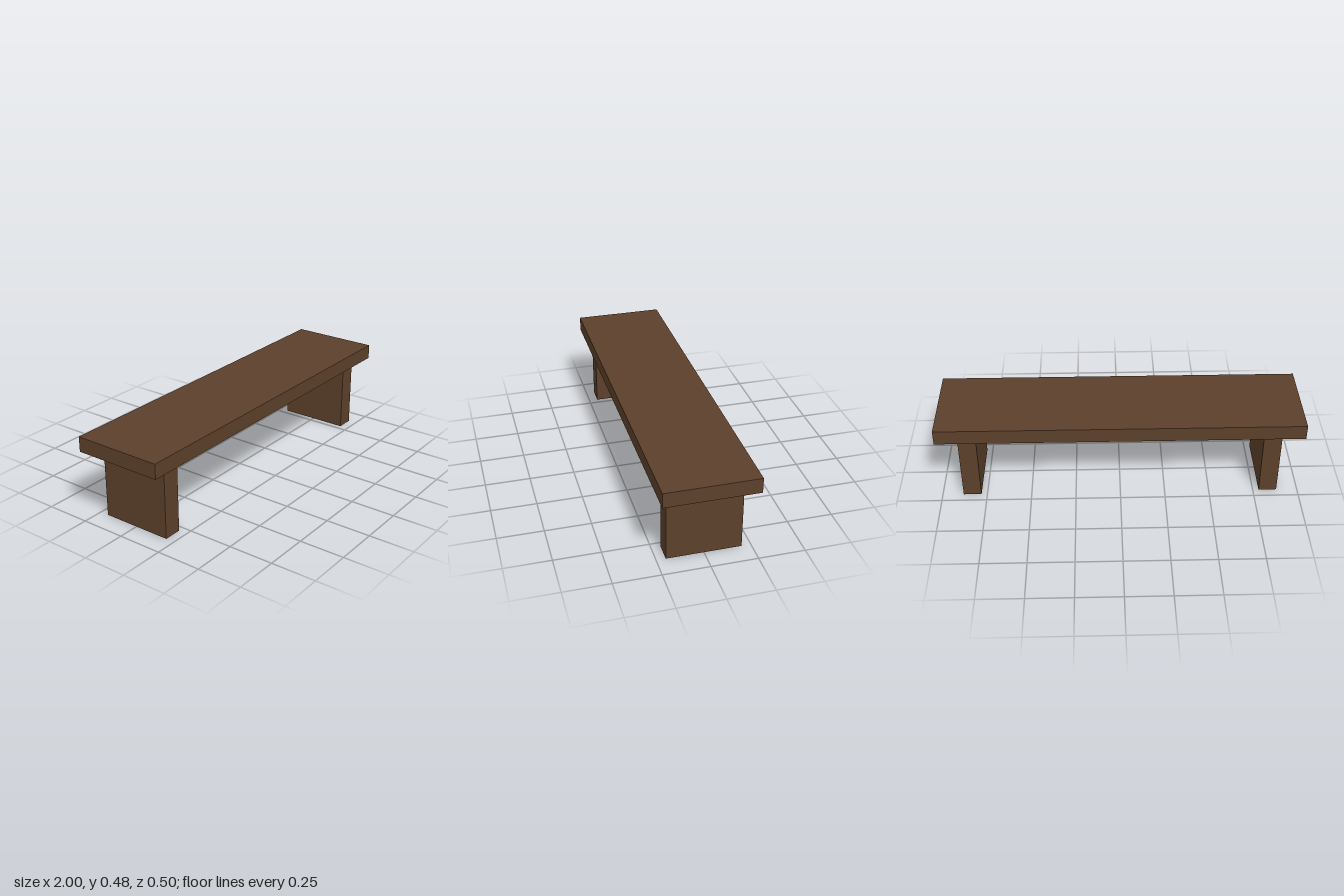
import * as THREE from 'three';

export function createModel() {
  const bench = new THREE.Group();
  bench.name = 'bench';

  const wood = new THREE.MeshStandardMaterial({ color: 0x5c402b });
  wood.name = 'dark brown wood';

  const legHeight = 0.4;
  const seatThickness = 0.083;

  function addBoard(name, width, height, depth, x, bottom) {
    const board = new THREE.Mesh(new THREE.BoxGeometry(width, height, depth), wood);
    board.name = name;
    board.position.set(x, bottom + height / 2, 0);
    bench.add(board);
  }

  // Long seat plank
  addBoard('seat', 2, seatThickness, 0.5, 0, legHeight);

  // Slab legs, mirrored left and right
  for (const [name, side] of [['leftLeg', 1], ['rightLeg', -1]]) {
    addBoard(name, 0.1, legHeight, 0.4, side * 0.833, 0);
  }

  return bench;
}
